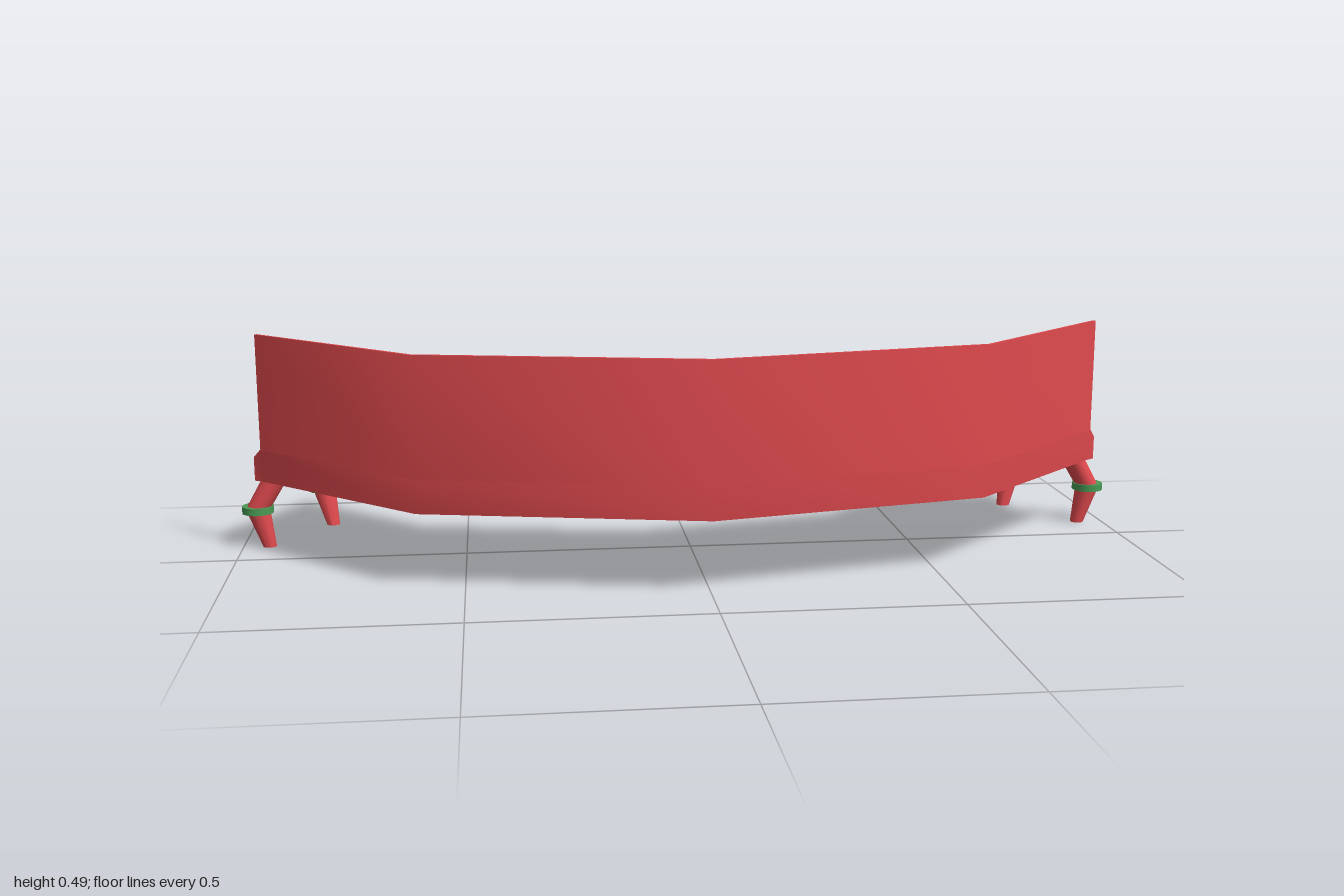
import * as THREE from 'three';
import { toCreasedNormals } from 'three/addons/utils/BufferGeometryUtils.js';

const red = new THREE.MeshStandardMaterial({ color: 0xe04a4e });
const green = new THREE.MeshStandardMaterial({ color: 0x4a9a55 });

// Skin a row of closed cross-sections (running from +x to -x) and cap both ends
function loft(sections) {
  const pos = [];
  const tri = (...pts) => pts.forEach((p) => pos.push(...p));
  const n = sections[0].length;
  for (let i = 0; i < sections.length - 1; i++) {
    for (let j = 0; j < n; j++) {
      const k = (j + 1) % n, s = sections[i], t = sections[i + 1];
      tri(s[j], s[k], t[k]);
      tri(s[j], t[k], t[j]);
    }
  }
  const first = sections[0], last = sections[sections.length - 1];
  for (let k = 1; k < n - 1; k++) {
    tri(first[0], first[k + 1], first[k]);
    tri(last[0], last[k], last[k + 1]);
  }
  const g = new THREE.BufferGeometry();
  g.setAttribute('position', new THREE.Float32BufferAttribute(pos, 3));
  return toCreasedNormals(g, 0.7);
}

// Extend half a row of sections (last one at x = 0) to the mirrored side
function mirrorSections(half) {
  const other = half.slice(0, -1).reverse();
  return [...half, ...other.map((s) => s.map(([x, y, z]) => [-x, y, z]))];
}

// Tapered round bar with level ends between two points
function legBar(bottom, top, rBottom, rTop) {
  const h = top[1] - bottom[1];
  const g = new THREE.CylinderGeometry(rTop, rBottom, h, 16);
  const p = g.attributes.position;
  for (let i = 0; i < p.count; i++) {
    const t = p.getY(i) / h + 0.5;
    p.setX(i, p.getX(i) + bottom[0] + (top[0] - bottom[0]) * t);
    p.setZ(i, p.getZ(i) + bottom[2] + (top[2] - bottom[2]) * t);
    p.setY(i, bottom[1] + h * t);
  }
  g.computeVertexNormals();
  return toCreasedNormals(g, 0.7);
}

export function createModel() {
  const model = new THREE.Group();
  const add = (name, geometry, material, parent = model) => {
    const mesh = new THREE.Mesh(geometry, material);
    mesh.name = name;
    parent.add(mesh);
  };

  const base = 0.16, edge = 0.213, top = 0.235;

  // Seat: outer edge, chamfered top edge and lower inner edge at each bend (x, z)
  const seatStations = [
    { outer: [0.945, -0.058], topInner: [0.78, -0.353], inner: [0.757, -0.378] },
    { outer: [0.6, 0.27], topInner: [0.507, -0.088], inner: [0.487, -0.122] },
    { outer: [0, 0.4], topInner: [0, 0.02], inner: [0, -0.017] },
  ];
  const seatHalf = seatStations.map(({ outer: [ox, oz], topInner: [tx, tz], inner: [ix, iz] }) => [
    [ox * 0.995, base, oz - 0.005],
    [ox, top, oz],
    [tx, top, tz],
    [ix, edge, iz],
    [ix, base, iz],
  ]);
  // Lower, slightly projecting end face
  seatHalf.unshift([
    [0.963, base, -0.08],
    [0.963, edge, -0.08],
    [0.78, edge, -0.4],
    [0.78, edge, -0.4],
    [0.78, base, -0.4],
  ]);
  add('seat', loft(mirrorSections(seatHalf)), red);

  // Thin curved backrest rising from the outer edge of the seat
  const backStations = [
    [0.945, -0.058, 0.939, -0.054 - 0.006],
    [0.6, 0.27, 0.596, 0.263],
    [0, 0.4, 0, 0.392],
  ];
  const backHalf = backStations.map(([ox, oz, ix, iz]) => [
    [ox, top - 0.002, oz],
    [ox, 0.49, oz],
    [ix, 0.49, iz],
    [ix, top - 0.002, iz],
  ]);
  add('backrest', loft(mirrorSections(backHalf)), red);

  // Bent legs: hip, knee and foot in plan (x, z)
  const legs = [
    { name: 'InnerLeg', hip: [0.8, -0.286], knee: [0.838, -0.316], foot: [0.817, -0.295] },
    { name: 'OuterLeg', hip: [0.917, -0.115], knee: [0.965, -0.116], foot: [0.942, -0.113] },
  ];
  for (const side of [1, -1]) {
    for (const { name, hip, knee, foot } of legs) {
      const leg = new THREE.Group();
      leg.name = (side > 0 ? 'left' : 'right') + name;
      const at = ([x, z], y) => [x * side, y, z];
      add('upperLeg', legBar(at(knee, 0.086), at(hip, 0.168), 0.027, 0.029), red, leg);
      add('lowerLeg', legBar(at(foot, 0), at(knee, 0.086), 0.015, 0.027), red, leg);
      add('kneeRing', legBar(at(knee, 0.078), at(knee, 0.094), 0.035, 0.035), green, leg);
      model.add(leg);
    }
  }
  return model;
}
